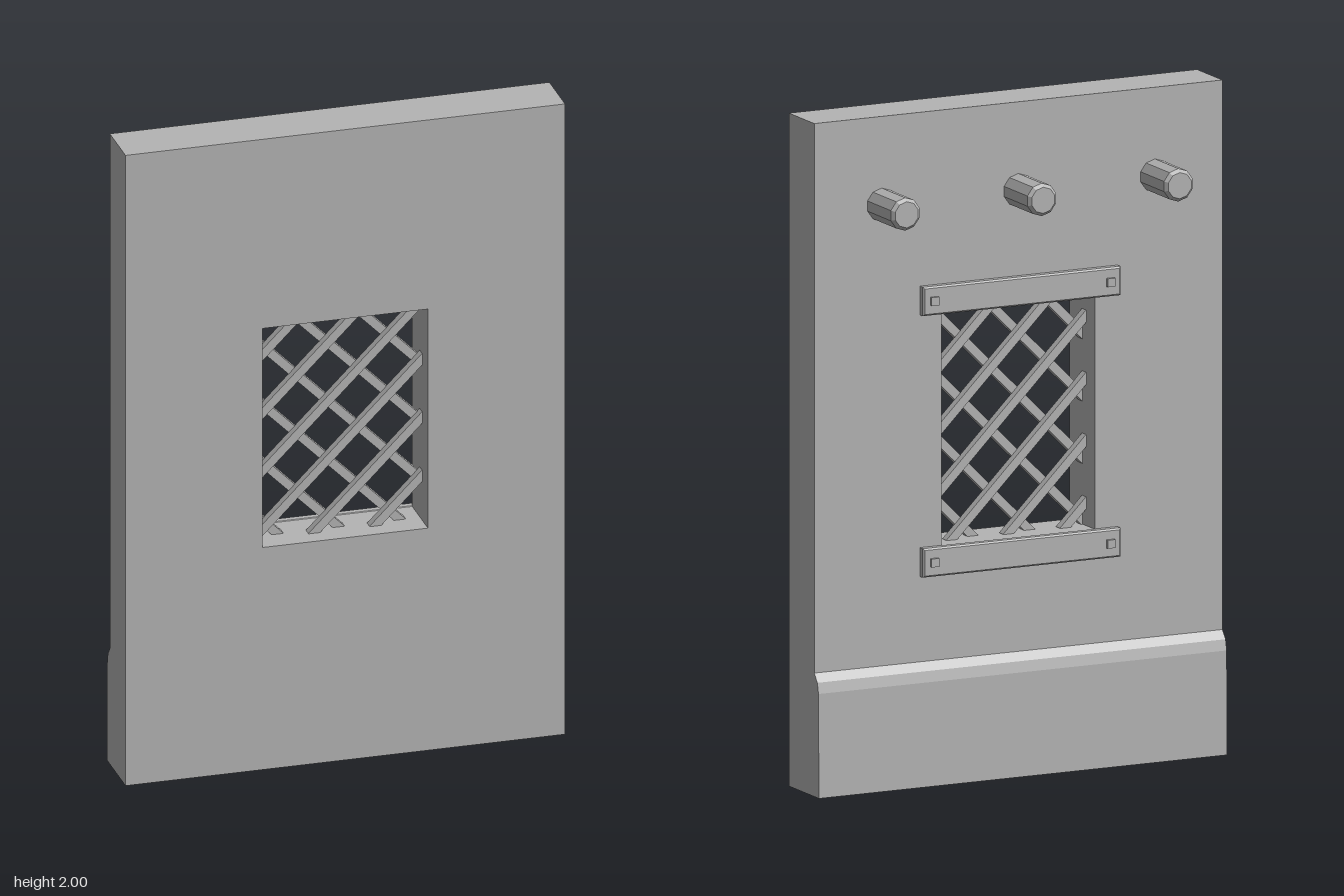
import * as THREE from 'three';

export function createModel() {
  const model = new THREE.Group();
  model.name = 'barredWallPanel';
  const stone = new THREE.MeshStandardMaterial({ color: 0xb4b4b4, flatShading: true });
  stone.name = 'grey';

  const add = (name, geometry, parent = model, x = 0, y = 0, z = 0) => {
    const mesh = new THREE.Mesh(geometry, stone);
    mesh.name = name;
    mesh.position.set(x, y, z);
    parent.add(mesh);
    return mesh;
  };
  const rect = (Type, x0, y0, x1, y1) => {
    const p = new Type();
    p.moveTo(x0, y0).lineTo(x1, y0).lineTo(x1, y1).lineTo(x0, y1).closePath();
    return p;
  };

  // Wall slab with a window opening
  const W = 0.665, D = 0.163, winX = 0.25, winLow = 0.705, winHigh = 1.4;
  const slab = rect(THREE.Shape, -W, 0, W, 2);
  slab.holes.push(rect(THREE.Path, -winX, winLow, winX, winHigh));
  add('wall', new THREE.ExtrudeGeometry(slab, { depth: D, bevelEnabled: false }));

  // Skirting along the back foot, with a sloped upper edge
  const skirt = new THREE.Shape();
  skirt.moveTo(0, 0).lineTo(0.03, 0).lineTo(0.027, 0.31).lineTo(0.02, 0.342).lineTo(0, 0.367).closePath();
  const skirtGeo = new THREE.ExtrudeGeometry(skirt, { depth: 2 * W, bevelEnabled: false });
  skirtGeo.rotateY(Math.PI / 2);
  add('skirting', skirtGeo, model, -W, 0, 0);

  // Diagonal lattice: two crossing layers, each bar cut to the opening
  const lattice = new THREE.Group();
  lattice.name = 'lattice';
  model.add(lattice);
  const step = 0.185, barT = 0.026, embed = 0.008;
  for (const [s, z] of [[1, 0.093], [-1, 0.069]]) {
    for (let k = -8; k <= 8; k++) {
      // bar follows y = c + s * x
      const c = 0.746 + s * 0.037 + k * step;
      const limits = [(winLow - embed - c) * s, (winHigh + embed - c) * s];
      const x0 = Math.max(-winX - embed, Math.min(...limits));
      const x1 = Math.min(winX + embed, Math.max(...limits));
      if (x1 - x0 < 0.03) continue;
      const xm = (x0 + x1) / 2;
      const bar = add('latticeBar', new THREE.BoxGeometry((x1 - x0) * Math.SQRT2, barT, barT), lattice, xm, c + s * xm, z);
      bar.rotation.z = s * Math.PI / 4;
    }
  }

  // Bolted rails above and below the opening
  const bevel = 0.005;
  for (const [name, y] of [['upperRail', 1.441], ['lowerRail', 0.664]]) {
    const rail = new THREE.Group();
    rail.name = name;
    rail.position.y = y;
    model.add(rail);
    const face = rect(THREE.Shape, -0.317, -0.038, 0.317, 0.038);
    add('plate', new THREE.ExtrudeGeometry(face, {
      depth: 0.018, bevelSize: bevel, bevelThickness: bevel, bevelSegments: 1,
    }), rail, 0, 0, -0.02);
    for (const x of [-0.287, 0.287]) {
      add('bolt', new THREE.BoxGeometry(0.025, 0.025, 0.02), rail, x, 0, -0.024);
    }
  }

  // Row of pegs with chamfered ends
  const r = 0.049, sides = 10, len = 0.15, tip = 0.01;
  for (const x of [-0.445, 0, 0.445]) {
    const peg = new THREE.Group();
    peg.name = 'peg';
    peg.position.set(x, 1.738, 0);
    peg.rotation.x = -Math.PI / 2;
    model.add(peg);
    add('shaft', new THREE.CylinderGeometry(r, r, len, sides, 1, true), peg, 0, len / 2, 0);
    add('tip', new THREE.CylinderGeometry(r - tip, r, tip, sides), peg, 0, len + tip / 2, 0);
  }
  return model;
}
